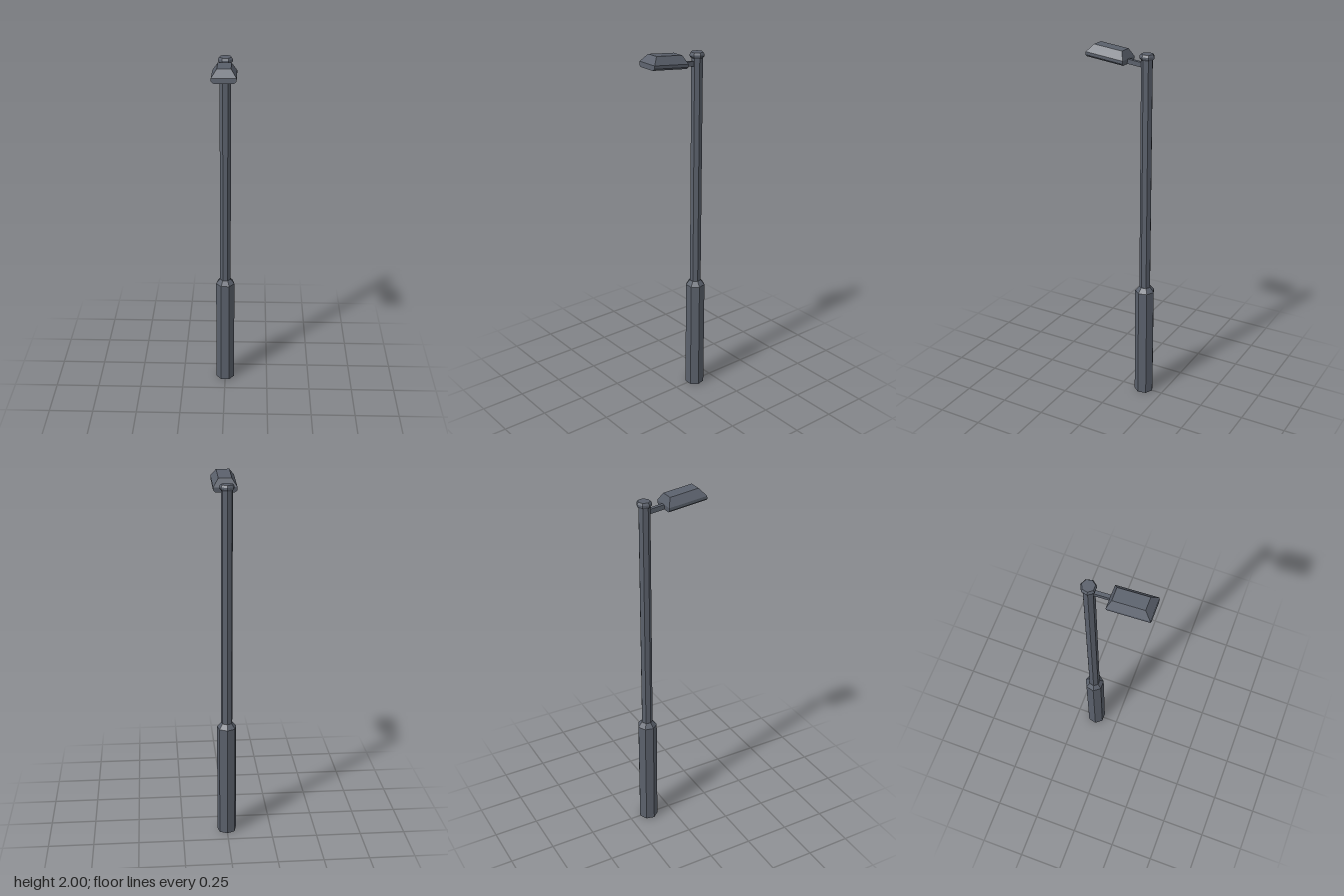
import * as THREE from 'three';

const metal = new THREE.MeshStandardMaterial({ color: 0x5a606b, flatShading: true });
const amber = new THREE.MeshStandardMaterial({ color: 0xc09a4a, flatShading: true });
const POLE_Z = -0.136;

function add(parent, name, geometry, material = metal) {
  const mesh = new THREE.Mesh(geometry, material);
  mesh.name = name;
  parent.add(mesh);
  return mesh;
}

// Seven-sided turned part, with one corner pointing to the back
function turned(parent, name, profile) {
  const points = profile.map(([r, y]) => new THREE.Vector2(r, y));
  const mesh = add(parent, name, new THREE.LatheGeometry(points, 7, Math.PI));
  mesh.position.z = POLE_Z;
  return mesh;
}

// Box whose top face is moved in to the given half width and z range
function hood(halfW, length, y0, y1, topHalfW, topZ0, topZ1) {
  const g = new THREE.BoxGeometry(halfW * 2, y1 - y0, length);
  g.translate(0, (y0 + y1) / 2, length / 2);
  const p = g.attributes.position;
  for (let i = 0; i < p.count; i++) {
    if (p.getY(i) < (y0 + y1) / 2) continue;
    p.setX(i, Math.sign(p.getX(i)) * topHalfW);
    p.setZ(i, p.getZ(i) > length / 2 ? topZ1 : topZ0);
  }
  g.computeVertexNormals();
  return g;
}

export function createModel() {
  const model = new THREE.Group();
  model.name = 'streetLamp';

  // Post
  turned(model, 'base', [[0, 0], [0.054, 0], [0.054, 0.64], [0.032, 0.667], [0, 0.667]]);
  turned(model, 'pole', [[0.031, 0.66], [0.031, 1.95]]);
  turned(model, 'cap', [[0, 1.945], [0.031, 1.945], [0.04, 1.955], [0.04, 1.965], [0.033, 1.976], [0, 1.976]]);

  // Lamp head, tilted up towards the front; its origin is the lower back edge
  const head = new THREE.Group();
  head.name = 'lampHead';
  head.position.set(0, 1.912, -0.026);
  head.rotation.x = -0.11;
  model.add(head);

  const length = 0.217;
  const section = new THREE.Shape([
    [-0.05, 0], [0.05, 0], [0.063, 0.011], [0.063, 0.027], [-0.063, 0.027], [-0.063, 0.011],
  ].map(([x, y]) => new THREE.Vector2(x, y)));
  add(head, 'rim', new THREE.ExtrudeGeometry(section, { depth: length, bevelEnabled: false }));
  add(head, 'hood', hood(0.063, length, 0.027, 0.068, 0.035, 0.024, 0.188));
  add(head, 'lens', new THREE.BoxGeometry(0.084, 0.003, 0.175), amber).position.set(0, 0, length / 2);

  // Arm from the pole into the head
  add(head, 'arm', new THREE.BoxGeometry(0.02, 0.025, 0.115)).position.set(0, 0.0145, -0.0525);

  return model;
}
